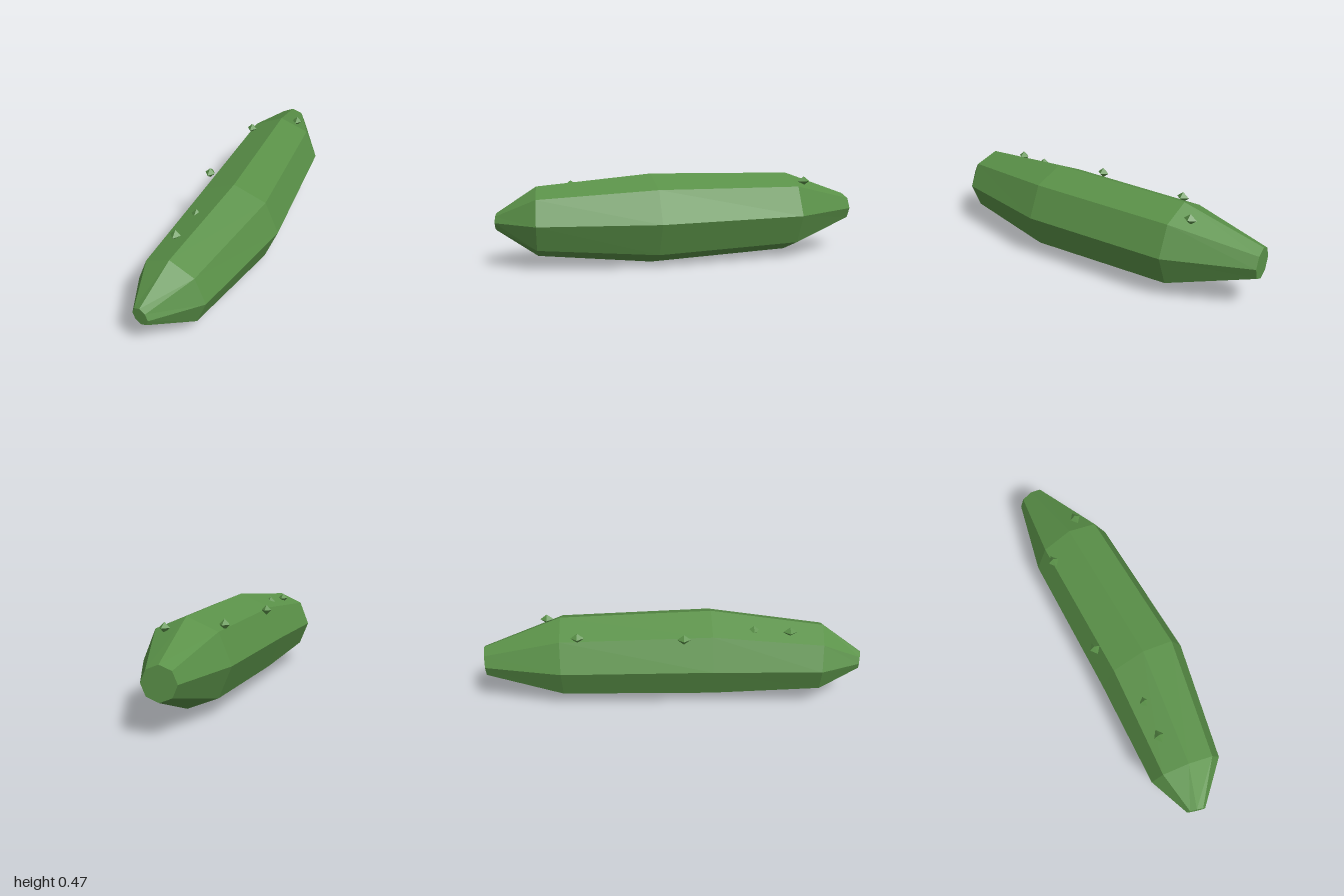
import * as THREE from 'three';

// Cross-sections from back to front: centre x, centre z, radius, forward tilt on the +x side
const RINGS = [
  { x: -0.067, z: -0.99, r: 0.08, tilt: -0.01 },
  { x: -0.012, z: -0.59, r: 0.218, tilt: -0.01 },
  { x: 0.006, z: 0.2, r: 0.237, tilt: 0.0 },
  { x: -0.065, z: 0.785, r: 0.181, tilt: 0.025 },
  { x: -0.12, z: 0.983, r: 0.045, tilt: 0.013 },
];
const CENTRE_Y = 0.237;

// Eight-sided tube bent and tapered along the rings, closed at both ends
function bodyGeometry() {
  const levels = RINGS.length - 1;
  const geo = new THREE.CylinderGeometry(1, 1, levels, 8, levels).rotateX(Math.PI / 2);
  const pos = geo.attributes.position;
  for (let i = 0; i < pos.count; i++) {
    const ring = RINGS[Math.round(pos.getZ(i) + levels / 2)];
    const x = pos.getX(i);
    pos.setXYZ(i, ring.x + x * ring.r, CENTRE_Y + pos.getY(i) * ring.r, ring.z + x * ring.tilt);
  }
  const flat = geo.toNonIndexed();
  flat.computeVertexNormals();
  return flat;
}

export function createModel() {
  const group = new THREE.Group();
  group.name = 'cucumber';

  const skin = new THREE.MeshStandardMaterial({ color: 0x5a9148 });
  skin.name = 'green skin';

  const body = new THREE.Mesh(bodyGeometry(), skin);
  body.name = 'body';
  group.add(body);

  // Small pointed bumps along the top
  const bumpGeo = new THREE.OctahedronGeometry(0.027).scale(1, 1, 1.3);
  const bumps = [[0.06, -0.67], [-0.16, -0.49], [-0.192, 0.05], [-0.103, 0.415], [-0.125, 0.6]];
  bumps.forEach(([x, z], i) => {
    const bump = new THREE.Mesh(bumpGeo, skin);
    bump.name = `bump${i + 1}`;
    bump.position.set(x, 0.411, z);
    group.add(bump);
  });

  return group;
}
